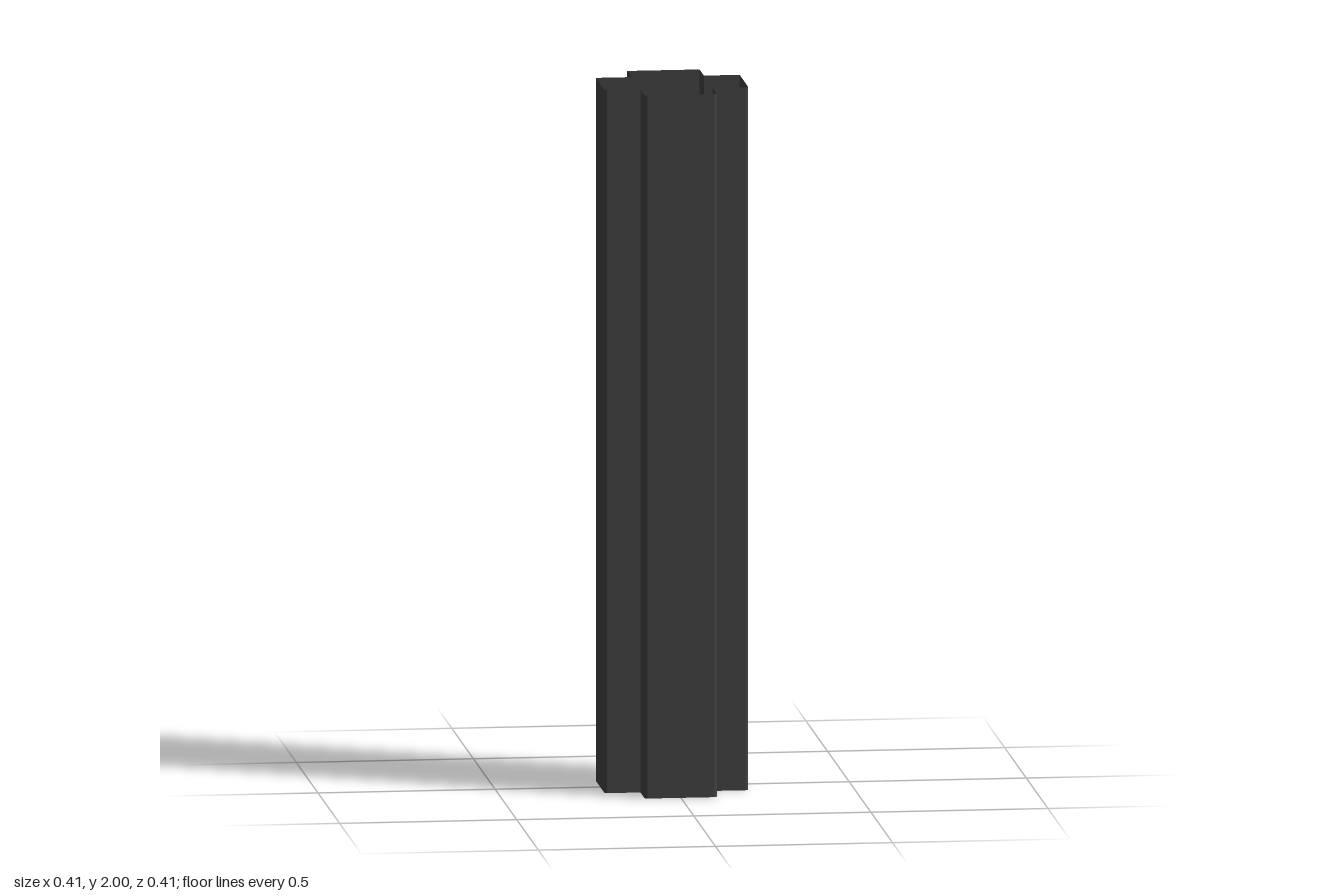
import * as THREE from 'three';

const HEIGHT = 2;
const OUT = 0.203;   // reach of each arm
const ARM = 0.102;   // half width of each arm
const CUT = 0.007;   // chamfer on the front-facing corners

// Cross-shaped outline in [x, z], running front, right-hand +x, back, -x
function crossOutline() {
  const rightHalf = [
    [ARM - CUT, OUT], [ARM, OUT - CUT],
    [ARM, ARM],
    [OUT - CUT, ARM], [OUT, ARM - CUT],
    [OUT, -ARM], [ARM, -ARM], [ARM, -OUT],
  ];
  const leftHalf = rightHalf.map(([x, z]) => [-x, z]).reverse();
  return [...rightHalf, ...leftHalf];
}

// Open vertical walls along a closed outline, one flat quad per side
function wallGeometry(outline, height) {
  const positions = [];
  outline.forEach(([ax, az], i) => {
    const [bx, bz] = outline[(i + 1) % outline.length];
    positions.push(
      ax, 0, az, bx, 0, bz, bx, height, bz,
      ax, 0, az, bx, height, bz, ax, height, az,
    );
  });
  const geometry = new THREE.BufferGeometry();
  geometry.setAttribute('position', new THREE.Float32BufferAttribute(positions, 3));
  geometry.computeVertexNormals();
  return geometry;
}

export function createModel() {
  const darkGrey = new THREE.MeshStandardMaterial({ color: 0x404040, side: THREE.DoubleSide });
  darkGrey.name = 'dark grey';

  // Hollow pillar, open at the top and bottom
  const pillar = new THREE.Mesh(wallGeometry(crossOutline(), HEIGHT), darkGrey);
  pillar.name = 'crossPillarWalls';

  const model = new THREE.Group();
  model.name = 'crossPillar';
  model.add(pillar);
  return model;
}
